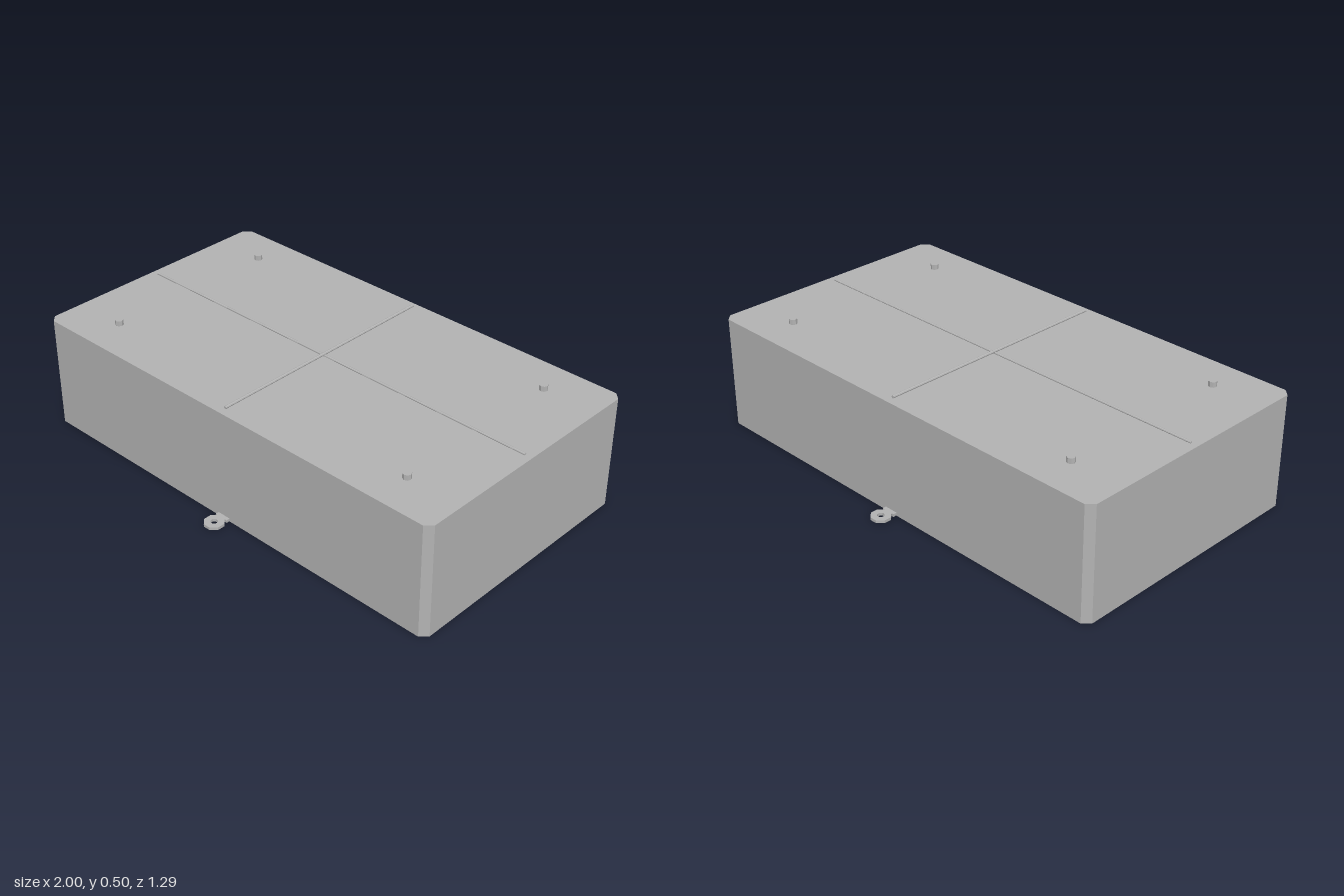
import * as THREE from 'three';

export function createModel() {
  const model = new THREE.Group();
  const grey = new THREE.MeshStandardMaterial({ color: 0xb3b3b3, flatShading: true });
  grey.name = 'grey';

  const add = (name, geometry, x = 0, y = 0, z = 0) => {
    const mesh = new THREE.Mesh(geometry, grey);
    mesh.name = name;
    mesh.position.set(x, y, z);
    model.add(mesh);
    return mesh;
  };

  // Upright prism from a plan outline
  const prism = (shape, height) =>
    new THREE.ExtrudeGeometry(shape, { depth: height, bevelEnabled: false }).rotateX(-Math.PI / 2);

  const octagon = (r) => Array.from({ length: 8 }, (_, i) => {
    const a = (i + 0.5) * Math.PI / 4;
    return new THREE.Vector2(r * Math.cos(a), r * Math.sin(a));
  });

  // Box body with chamfered upright corners
  const w = 1, d = 0.553, c = 0.028, top = 0.482;
  const plan = new THREE.Shape([
    [-w + c, -d], [w - c, -d], [w, -d + c], [w, d - c],
    [w - c, d], [-w + c, d], [-w, d - c], [-w, -d + c],
  ].map(([x, y]) => new THREE.Vector2(x, y)));
  add('body', prism(plan, top));

  // Crossed rods on the lid
  const longRod = new THREE.CylinderGeometry(0.005, 0.005, 1.94, 8).rotateZ(Math.PI / 2);
  add('longRod', longRod, 0, top + 0.003, 0);
  const crossRod = new THREE.CylinderGeometry(0.006, 0.006, 1.05, 8).rotateX(Math.PI / 2);
  add('crossRod', crossRod, 0, top + 0.009, 0);

  // Four lid pegs
  const peg = new THREE.CylinderGeometry(0.017, 0.017, 0.022, 8);
  for (const x of [-0.76, 0.76])
    for (const z of [-0.388, 0.388]) add('lidPeg', peg, x, top + 0.011, z);

  // Eyelet with its mounting plate at the front and back
  const ring = new THREE.Shape(octagon(0.042));
  ring.holes.push(new THREE.Path(octagon(0.015).reverse()));
  const eyelet = prism(ring, 0.012);
  const plate = new THREE.BoxGeometry(0.06, 0.012, 0.022);
  for (const s of [-1, 1]) {
    add('eyelet', eyelet, 0, 0.002, s * 0.605);
    add('eyeletPlate', plate, 0, 0.008, s * 0.558);
  }

  return model;
}
